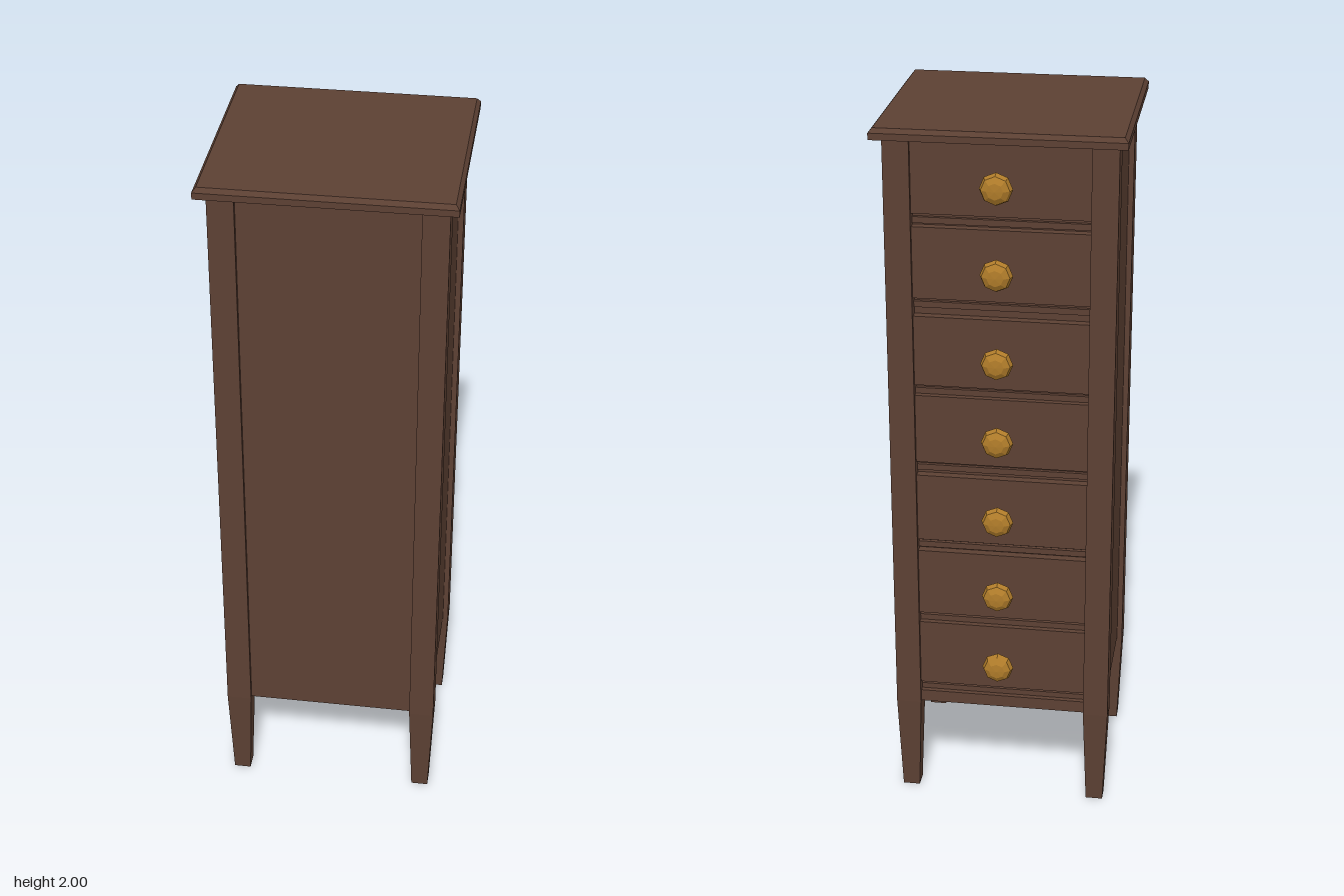
import * as THREE from 'three';

const wood = new THREE.MeshStandardMaterial({ color: 0x5c4033 });
wood.name = 'dark wood';
const brass = new THREE.MeshStandardMaterial({ color: 0xb07c2a, flatShading: true });
brass.name = 'aged brass';

function add(parent, name, geometry, material, x = 0, y = 0, z = 0) {
  const mesh = new THREE.Mesh(geometry, material);
  mesh.name = name;
  mesh.position.set(x, y, z);
  parent.add(mesh);
  return mesh;
}

// Box given by its lower and upper corners
function block(parent, name, [x0, y0, z0], [x1, y1, z1]) {
  return add(parent, name, new THREE.BoxGeometry(x1 - x0, y1 - y0, z1 - z0), wood,
    (x0 + x1) / 2, (y0 + y1) / 2, (z0 + z1) / 2);
}

// Square leg: a box whose lower end narrows to the foot
function taperedFoot(width, depth, height, footWidth, footDepth) {
  const g = new THREE.BoxGeometry(width, height, depth);
  const p = g.attributes.position;
  for (let i = 0; i < p.count; i++) {
    if (p.getY(i) < 0) {
      p.setX(i, Math.sign(p.getX(i)) * footWidth / 2);
      p.setZ(i, Math.sign(p.getZ(i)) * footDepth / 2);
    }
  }
  g.computeVertexNormals();
  return g;
}

export function createModel() {
  const group = new THREE.Group();
  group.name = 'tallDrawerChest';

  // Carcass, set in slightly from the posts
  block(group, 'carcass', [-0.29, 0.29, -0.222], [0.29, 1.97, 0.245]);

  // Table top with a small chamfer on its upper edge
  block(group, 'topBoard', [-0.33, 1.97, -0.305], [0.33, 1.988, 0.305]);
  const chamfer = new THREE.BoxGeometry(0.66, 0.012, 0.61);
  const p = chamfer.attributes.position;
  for (let i = 0; i < p.count; i++) {
    if (p.getY(i) > 0) {
      p.setX(i, p.getX(i) * 0.97);
      p.setZ(i, p.getZ(i) * 0.97);
    }
  }
  chamfer.computeVertexNormals();
  add(group, 'topChamfer', chamfer, wood, 0, 1.994, 0);

  // Four corner posts running into tapered feet
  for (const sx of [-1, 1]) {
    for (const sz of [-1, 1]) {
      const post = new THREE.Group();
      post.name = 'cornerPost';
      add(post, 'postShaft', new THREE.BoxGeometry(0.07, 1.68, 0.067), wood, 0, 1.13, 0);
      add(post, 'foot', taperedFoot(0.07, 0.067, 0.29, 0.048, 0.045), wood, 0, 0.145, 0);
      post.position.set(sx * 0.27, 0, sz * 0.2235);
      group.add(post);
    }
  }

  // Faceted knob, turned around the axis pointing out of the drawer
  const knobShape = new THREE.LatheGeometry([
    [0, -0.008], [0.02, -0.008], [0.026, 0.008], [0.044, 0.026], [0.038, 0.042], [0.022, 0.052], [0, 0.054],
  ].map(([r, h]) => new THREE.Vector2(r, h)), 8);
  knobShape.rotateX(-Math.PI / 2);

  // Seven drawers on the -z side, with a recessed gap under each
  const knobHeights = [0.439, 0.667, 0.9, 1.138, 1.366, 1.614, 1.847];
  knobHeights.forEach((y, i) => {
    const drawer = new THREE.Group();
    drawer.name = 'drawer' + (i + 1);
    block(drawer, 'drawerFront', [-0.235, y - 0.085, -0.246], [0.235, y + 0.112, -0.2]);
    block(drawer, 'rail', [-0.235, y - 0.115, -0.232], [0.235, y - 0.098, -0.2]);
    add(drawer, 'knob', knobShape, brass, 0.007, y, -0.251);
    group.add(drawer);
  });
  block(group, 'bottomRail', [-0.235, 0.29, -0.246], [0.235, 0.325, -0.2]);

  return group;
}
